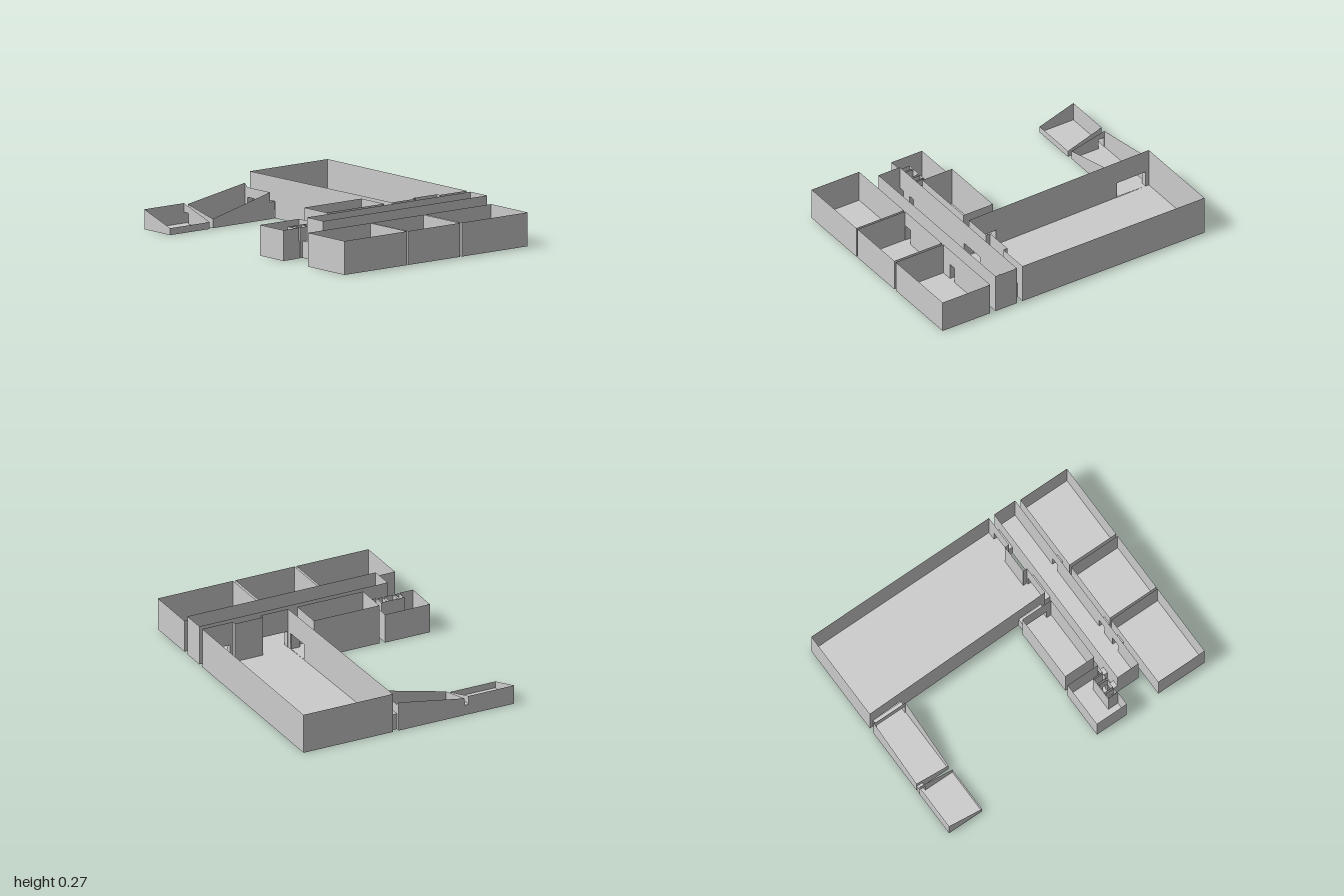
import * as THREE from 'three';

const material = new THREE.MeshStandardMaterial({ color: 0xcccccc, side: THREE.DoubleSide, flatShading: true });

// Passages between rooms: [axis they run along, start, end, side from, side to, height]
const PASSAGES = [
  ['x', 0.39, 0.432, -0.705, -0.56, 0.11],
  ['x', 0.39, 0.432, -0.33, -0.147, 0.11],
  ['x', 0.39, 0.432, 0.44, 0.485, 0.11],
  ['x', 0.385, 0.432, 0.552, 0.595, 0.11],
  ['x', 0.595, 0.637, -0.35, -0.295, 0.11],
  ['x', 0.595, 0.637, 0.165, 0.222, 0.11],
  ['x', 0.595, 0.637, 0.315, 0.375, 0.11],
  ['z', -0.117, -0.075, -0.975, -0.755, 0.11],
  ['z', -0.138, -0.075, 0.18, 0.355, 0.11],
  ['z', 0.398, 0.43, -0.998, -0.955, 0.07],
  ['z', 0.535, 0.55, 0.35, 0.383, 0.11],
  ['z', 0.612, 0.625, 0.35, 0.383, 0.11],
];

// Corners [x, z, wall height] of a rectangular room
const rect = (x0, x1, z0, z1, h) => [[x0, z0, h], [x1, z0, h], [x1, z1, h], [x0, z1, h]];

const ROOMS = {
  mainHall: [[-1, -0.76, 0.27], [0.39, -0.76, 0.27], [0.39, -0.54, 0.27], [0.36, -0.54, 0.27],
    [0.36, -0.34, 0.27], [0.39, -0.34, 0.27], [0.39, -0.142, 0.27], [-1, -0.117, 0.27]],
  corridor: rect(0.432, 0.595, -0.76, 0.597, 0.27),
  backSideRoom: rect(0.637, 1, -0.76, -0.218, 0.22),
  middleSideRoom: rect(0.637, 1, -0.2, 0.225, 0.22),
  frontSideRoom: rect(0.637, 1, 0.24, 0.757, 0.22),
  innerRoom: rect(0.165, 0.39, -0.075, 0.398, 0.27),
  frontRoom: [[0.157, 0.435, 0.2], [0.39, 0.435, 0.2], [0.39, 0.49, 0.2], [0.315, 0.49, 0.2],
    [0.315, 0.66, 0.2], [0.39, 0.66, 0.2], [0.39, 0.757, 0.2], [0.157, 0.757, 0.2]],
  backCubicle: rect(0.32, 0.385, 0.5, 0.535, 0.2),
  middleCubicle: rect(0.32, 0.385, 0.55, 0.612, 0.2),
  frontCubicle: rect(0.32, 0.385, 0.625, 0.655, 0.2),
  slopedRoom: [[-1, -0.075, 0.2], [-0.975, -0.075, 0.175], [-0.75, -0.075, 0.175],
    [-0.75, 0.398, 0.06], [-1, 0.398, 0.12]],
  lowRoom: [[-1, 0.43, 0.13], [-0.743, 0.43, 0.045], [-0.743, 0.757, 0.045], [-1, 0.757, 0.13]],
};

function add(group, name, geometry) {
  const mesh = new THREE.Mesh(geometry, material);
  mesh.name = name;
  group.add(mesh);
  return mesh;
}

// Door openings [from, to, height], measured along the wall from a to b
function doorsIn(a, b) {
  const doors = [];
  for (const [axis, start, end, s0, s1, h] of PASSAGES) {
    const along = axis === 'x' ? 1 : 0, across = 1 - along;
    const lo = Math.min(a[along], b[along]), hi = Math.max(a[along], b[along]);
    const meets = [start, end].some(p => Math.abs(a[across] - p) < 0.03 && Math.abs(b[across] - p) < 0.03
      && Math.min(Math.abs(a[across] - p), Math.abs(b[across] - p)) < 0.006);
    if (!meets || s0 < lo - 0.004 || s1 > hi + 0.004) continue;
    const length = Math.hypot(b[0] - a[0], b[1] - a[1]);
    const u = [s0, s1].map(s => length * (s - a[along]) / (b[along] - a[along])).sort((p, q) => p - q);
    doors.push([Math.max(u[0], 0.001), Math.min(u[1], length - 0.001), h]);
  }
  return doors.sort((p, q) => p[0] - q[0]);
}

// A thin upright wall with door openings cut from its foot
function wall(group, a, b) {
  const dx = b[0] - a[0], dz = b[1] - a[1], length = Math.hypot(dx, dz);
  const outline = new THREE.Shape().moveTo(0, 0);
  for (const [u0, u1, h] of doorsIn(a, b)) {
    outline.lineTo(u0, 0).lineTo(u0, h).lineTo(u1, h).lineTo(u1, 0);
  }
  outline.lineTo(length, 0).lineTo(length, b[2]).lineTo(0, a[2]);
  const mesh = add(group, 'wall', new THREE.ShapeGeometry(outline));
  mesh.position.set(a[0], 0, a[1]);
  mesh.rotation.y = Math.atan2(-dz, dx);
}

// A flat slab of no thickness over the given corners
function flat(group, name, corners, y) {
  const shape = new THREE.Shape(corners.map(([x, z]) => new THREE.Vector2(x, -z)));
  add(group, name, new THREE.ShapeGeometry(shape).rotateX(-Math.PI / 2)).position.y = y;
}

export function createModel() {
  const model = new THREE.Group();
  model.name = 'floorPlan';

  // Open-topped rooms
  for (const [name, corners] of Object.entries(ROOMS)) {
    const room = new THREE.Group();
    room.name = name;
    flat(room, 'floor', corners, 0);
    corners.forEach((corner, i) => wall(room, corner, corners[(i + 1) % corners.length]));
    model.add(room);
  }

  // Low doorways joining the rooms: floor, lintel and two cheeks
  for (const [axis, start, end, s0, s1, h] of PASSAGES) {
    const doorway = new THREE.Group();
    doorway.name = 'doorway';
    const c = axis === 'x' ? rect(start, end, s0, s1, h) : rect(s0, s1, start, end, h);
    flat(doorway, 'threshold', c, 0);
    flat(doorway, 'lintel', c, h);
    const cheeks = axis === 'x' ? [[0, 1], [3, 2]] : [[0, 3], [1, 2]];
    for (const [i, j] of cheeks) wall(doorway, c[i], c[j]);
    model.add(doorway);
  }
  return model;
}
